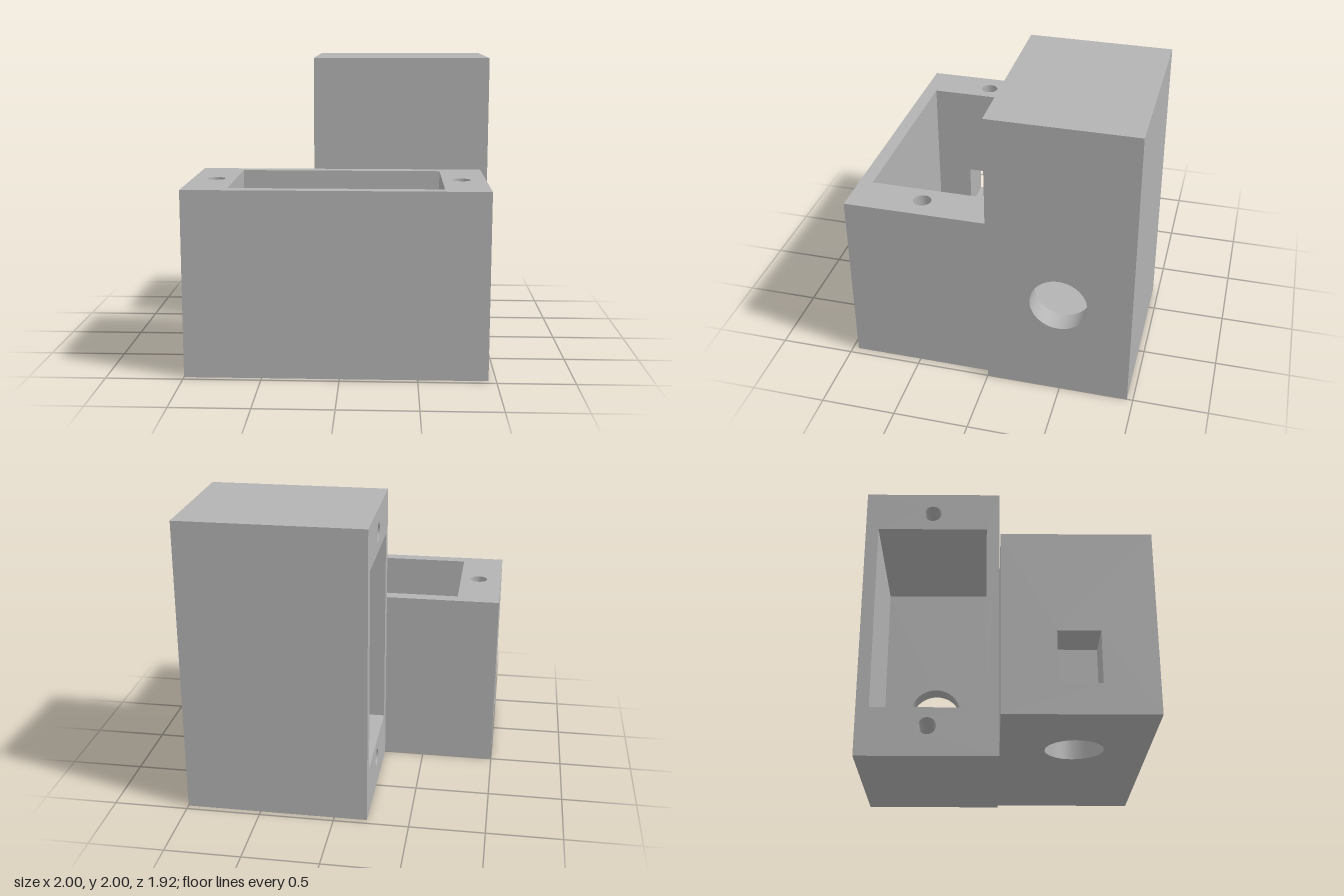
import * as THREE from 'three';

const HEIGHT = 1.22, WIDTH = 0.96, WALL = 0.09, FLOOR = 0.15;
const POCKET = 1.37, MID = WIDTH / 2;
const SHAFT_R = 0.19, SCREW_R = 0.06, SCREW_DEPTH = 0.35;

// rectangle from two corners, with optional holes
function rect(x0, y0, x1, y1, holes = []) {
  const s = new THREE.Shape();
  s.moveTo(x0, y0).lineTo(x1, y0).lineTo(x1, y1).lineTo(x0, y1).closePath();
  s.holes.push(...holes);
  return s;
}

function circle(x, y, r) {
  return new THREE.Path().absarc(x, y, r, 0, Math.PI * 2, true);
}

// Hollow motor housing: length along x, open at the top, shaft hole in the floor
function housing(name, length, start, cable, material) {
  const group = new THREE.Group();
  group.name = name;
  const end = start + POCKET, shaftX = start + 0.36;
  const screws = [start - 0.13, end + 0.13];

  const add = (part, geometry, x = 0, y = 0, z = 0) => {
    const mesh = new THREE.Mesh(geometry, material);
    mesh.name = part;
    mesh.position.set(x, y, z);
    group.add(mesh);
  };
  const flat = (part, shape, y) =>
    add(part, new THREE.ShapeGeometry(shape, 24).rotateX(Math.PI / 2), 0, y, 0);
  const side = (part, shape, z) => add(part, new THREE.ShapeGeometry(shape), 0, 0, z);
  const endPlate = (part, shape, x) =>
    add(part, new THREE.ShapeGeometry(shape).rotateY(-Math.PI / 2), x, 0, 0);
  const tube = (part, r, x, y0, y1) =>
    add(part, new THREE.CylinderGeometry(r, r, y1 - y0, 48, 1, true), x, (y0 + y1) / 2, MID);

  const cableHole = () => (cable ? [rect(0.345, 0.2, 0.615, 0.545)] : []);

  // horizontal faces
  flat('base', rect(0, 0, length, WIDTH, [circle(shaftX, MID, SHAFT_R)]), 0);
  flat('pocketFloor', rect(start, WALL, end, WIDTH - WALL, [circle(shaftX, MID, SHAFT_R)]), FLOOR);
  flat('rim', rect(0, 0, length, WIDTH, [
    rect(start, WALL, end, WIDTH - WALL),
    ...screws.map((x) => circle(x, MID, SCREW_R)),
  ]), HEIGHT);

  // outer walls and pocket walls
  for (const z of [0, WIDTH]) side('outerSide', rect(0, 0, length, HEIGHT), z);
  for (const z of [WALL, WIDTH - WALL]) side('pocketSide', rect(start, FLOOR, end, HEIGHT), z);
  endPlate('outerEnd', rect(0, 0, WIDTH, HEIGHT, cableHole()), 0);
  endPlate('outerEnd', rect(0, 0, WIDTH, HEIGHT), length);
  endPlate('pocketEnd', rect(WALL, FLOOR, WIDTH - WALL, HEIGHT, cableHole()), start);
  endPlate('pocketEnd', rect(WALL, FLOOR, WIDTH - WALL, HEIGHT), end);

  // round bores
  tube('shaftHole', SHAFT_R, shaftX, 0, FLOOR);
  for (const x of screws) {
    tube('screwHole', SCREW_R, x, HEIGHT - SCREW_DEPTH, HEIGHT);
    flat('screwHoleBottom', new THREE.Shape().absarc(x, MID, SCREW_R, 0, Math.PI * 2), HEIGHT - SCREW_DEPTH);
  }

  // cable passage through one end wall
  if (cable) {
    for (const y of [0.2, 0.545]) flat('cablePassage', rect(0, 0.345, start, 0.615), y);
    for (const z of [0.345, 0.615]) side('cablePassage', rect(0, 0.2, start, 0.545), z);
  }
  return group;
}

export function createModel() {
  const model = new THREE.Group();
  model.name = 'doubleMotorBracket';
  const grey = new THREE.MeshStandardMaterial({ color: 0xb3b3b3, side: THREE.DoubleSide });
  grey.name = 'grey';

  // low housing, opening upward
  const low = housing('lowHousing', 1.95, 0.29, true, grey);
  low.position.set(-1, 0, 0);

  // tall housing, turned on end so it opens to -x
  const tall = housing('tallHousing', 2, 0.34, false, grey);
  tall.rotation.z = Math.PI / 2;
  tall.position.set(1, 0, -WIDTH);

  model.add(low, tall);
  return model;
}
